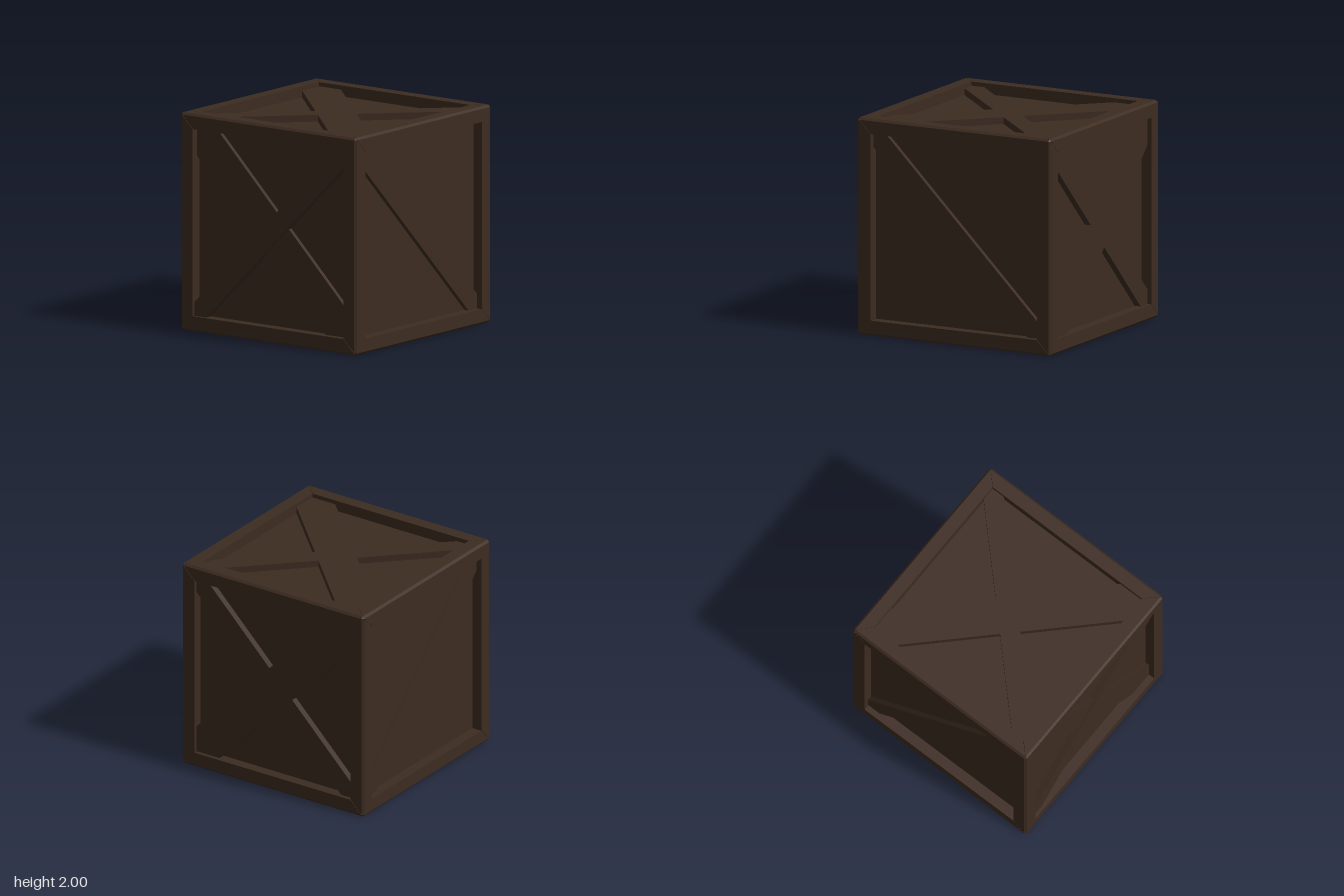
import * as THREE from 'three';
import { ConvexGeometry } from 'three/addons/geometries/ConvexGeometry.js';

const INNER = 0.86; // half size of the opening inside the frame
const EDGE = 0.98;  // where the outer chamfer begins
const PANEL = 0.9;  // half size of the recessed panels

export function createModel() {
  const crate = new THREE.Group();
  crate.name = 'crate';
  const wood = new THREE.MeshStandardMaterial({ color: 0x3d2c21 });
  wood.name = 'dark wood';

  const add = (geometry, name, parent) => {
    const mesh = new THREE.Mesh(geometry, wood);
    mesh.name = name;
    parent.add(mesh);
    return mesh;
  };

  // Recessed panels on all six sides
  add(new THREE.BoxGeometry(2 * PANEL, 2 * PANEL, 2 * PANEL), 'panels', crate);

  // Chamfered frame beam along z, with mitred ends
  const section = [[INNER, 1], [EDGE, 1], [1, EDGE], [1, INNER], [INNER, INNER]];
  const points = [];
  for (const [x, y] of section) {
    const end = Math.min(x, y) - 0.002;
    points.push(new THREE.Vector3(x, y, end), new THREE.Vector3(x, y, -end));
  }
  const beam = new ConvexGeometry(points);

  // Three directions: along z, x and y
  const turns = [[0, 0, 0], [0, Math.PI / 2, 0], [Math.PI / 2, 0, 0]];
  for (const turn of turns) {
    const set = new THREE.Group();
    set.name = 'frameBeams';
    set.rotation.set(...turn);
    for (let i = 0; i < 4; i++) {
      add(beam, 'frameBeam', set).rotation.z = i * Math.PI / 2;
    }
    crate.add(set);
  }

  // Cut corners where three beams meet
  for (const x of [-1, 1]) for (const y of [-1, 1]) for (const z of [-1, 1]) {
    const corner = [[EDGE, 1, EDGE], [1, EDGE, EDGE], [EDGE, EDGE, 1], [INNER, INNER, INNER]]
      .map(([a, b, c]) => new THREE.Vector3(a * x, b * y, c * z));
    add(new ConvexGeometry(corner), 'frameCorner', crate);
  }

  // Diagonal bar trimmed to the opening, from upper left to lower right,
  // running through the crate so that it shows on two opposite sides
  const bar = (w, back, front) => {
    const c = INNER;
    const outline = [[-c, c], [-c, c - w], [c - w, -c], [c, -c], [c, w - c], [w - c, c]];
    const shape = new THREE.Shape(outline.map(([x, y]) => new THREE.Vector2(x, y)));
    return new THREE.ExtrudeGeometry(shape, { depth: front + back, bevelEnabled: false })
      .translate(0, 0, -back);
  };
  const single = bar(0.13, 0.945, 0.945);
  const narrow = bar(0.13, 0.97, 0.962);
  const wide = bar(0.25, 0.94, 0.962).rotateZ(Math.PI / 2);

  const sides = [
    { name: 'frontAndBackBraces', turn: [0, 0, 0], parts: [single] },
    { name: 'sideBraces', turn: [0, Math.PI / 2, 0], parts: [narrow, wide] },
    { name: 'topAndBottomBraces', turn: [-Math.PI / 2, 0, 0], parts: [narrow, wide] },
  ];
  for (const { name, turn, parts } of sides) {
    const set = new THREE.Group();
    set.name = name;
    set.rotation.set(...turn);
    for (const part of parts) add(part, 'brace', set);
    crate.add(set);
  }

  // Stand the crate on the ground
  for (const child of crate.children) child.position.y += 1;
  return crate;
}
